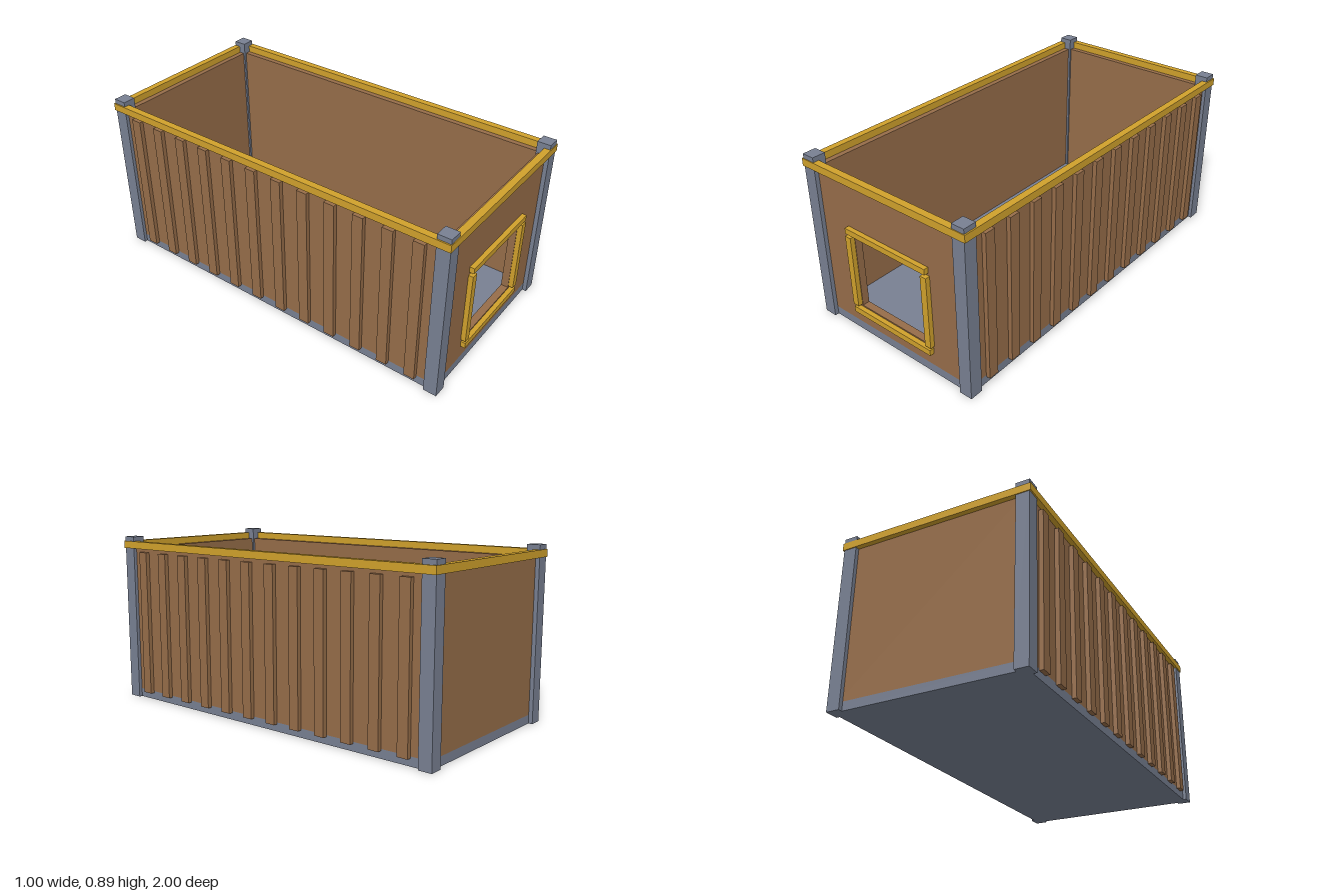
import * as THREE from 'three';

const steel = new THREE.MeshStandardMaterial({ color: 0x788092 });
const rust = new THREE.MeshStandardMaterial({ color: 0x966d49 });
const yellow = new THREE.MeshStandardMaterial({ color: 0xd0a12c });

// Box given by its lower and upper limits on each axis
function box(name, material, [x0, x1], [y0, y1], [z0, z1]) {
  const mesh = new THREE.Mesh(new THREE.BoxGeometry(x1 - x0, y1 - y0, z1 - z0), material);
  mesh.position.set((x0 + x1) / 2, (y0 + y1) / 2, (z0 + z1) / 2);
  mesh.name = name;
  return mesh;
}

// Limits of a band on the positive or negative side
const band = (s, a, b) => (s > 0 ? [a, b] : [-b, -a]);

function rectangle(path, x0, x1, y0, y1) {
  path.moveTo(x0, y0);
  path.lineTo(x1, y0);
  path.lineTo(x1, y1);
  path.lineTo(x0, y1);
  path.closePath();
  return path;
}

export function createModel() {
  const model = new THREE.Group();
  model.name = 'openTopContainer';

  // Floor
  model.add(box('floor', steel, [-0.475, 0.475], [0, 0.045], [-0.975, 0.975]));

  // Corner posts
  for (const sx of [-1, 1]) for (const sz of [-1, 1]) {
    model.add(box('cornerPost', steel, band(sx, 0.425, 0.493), [0, 0.89], band(sz, 0.927, 0.996)));
  }

  // Side walls with vertical ribs
  for (const s of [-1, 1]) {
    const side = new THREE.Group();
    side.name = s > 0 ? 'leftSide' : 'rightSide';
    side.add(box('sideWall', rust, band(s, 0.437, 0.475), [0.045, 0.83], [-0.94, 0.94]));
    for (let i = 0; i < 12; i++) {
      const z = -0.849 + i * 0.1543;
      side.add(box('rib', rust, band(s, 0.47, 0.497), [0.036, 0.81], [z - 0.028, z + 0.028]));
    }
    model.add(side);
  }

  // Back wall
  model.add(box('backWall', rust, [-0.45, 0.45], [0.045, 0.83], [-0.975, -0.937]));

  // Front wall with window opening
  const panel = rectangle(new THREE.Shape(), -0.45, 0.45, 0.045, 0.83);
  panel.holes.push(rectangle(new THREE.Path(), -0.22, 0.22, 0.153, 0.555));
  const frontWall = new THREE.Mesh(
    new THREE.ExtrudeGeometry(panel, { depth: 0.038, bevelEnabled: false }), rust);
  frontWall.position.z = 0.937;
  frontWall.name = 'frontWall';
  model.add(frontWall);

  // Window frame
  const frame = new THREE.Group();
  frame.name = 'windowFrame';
  const depth = [0.972, 0.999];
  frame.add(box('frameTop', yellow, [-0.254, 0.252], [0.56, 0.59], depth));
  frame.add(box('frameBottom', yellow, [-0.254, 0.252], [0.115, 0.146], depth));
  for (const s of [-1, 1]) {
    frame.add(box('frameUpright', yellow, band(s, 0.223, 0.258), [0.16, 0.545], depth));
  }
  model.add(frame);

  // Top rails
  for (const s of [-1, 1]) {
    model.add(box('sideRail', yellow, band(s, 0.465, 0.5), [0.828, 0.866], [-1, 1]));
    model.add(box('endRail', yellow, [-0.465, 0.465], [0.828, 0.866], band(s, 0.965, 1)));
  }
  return model;
}
